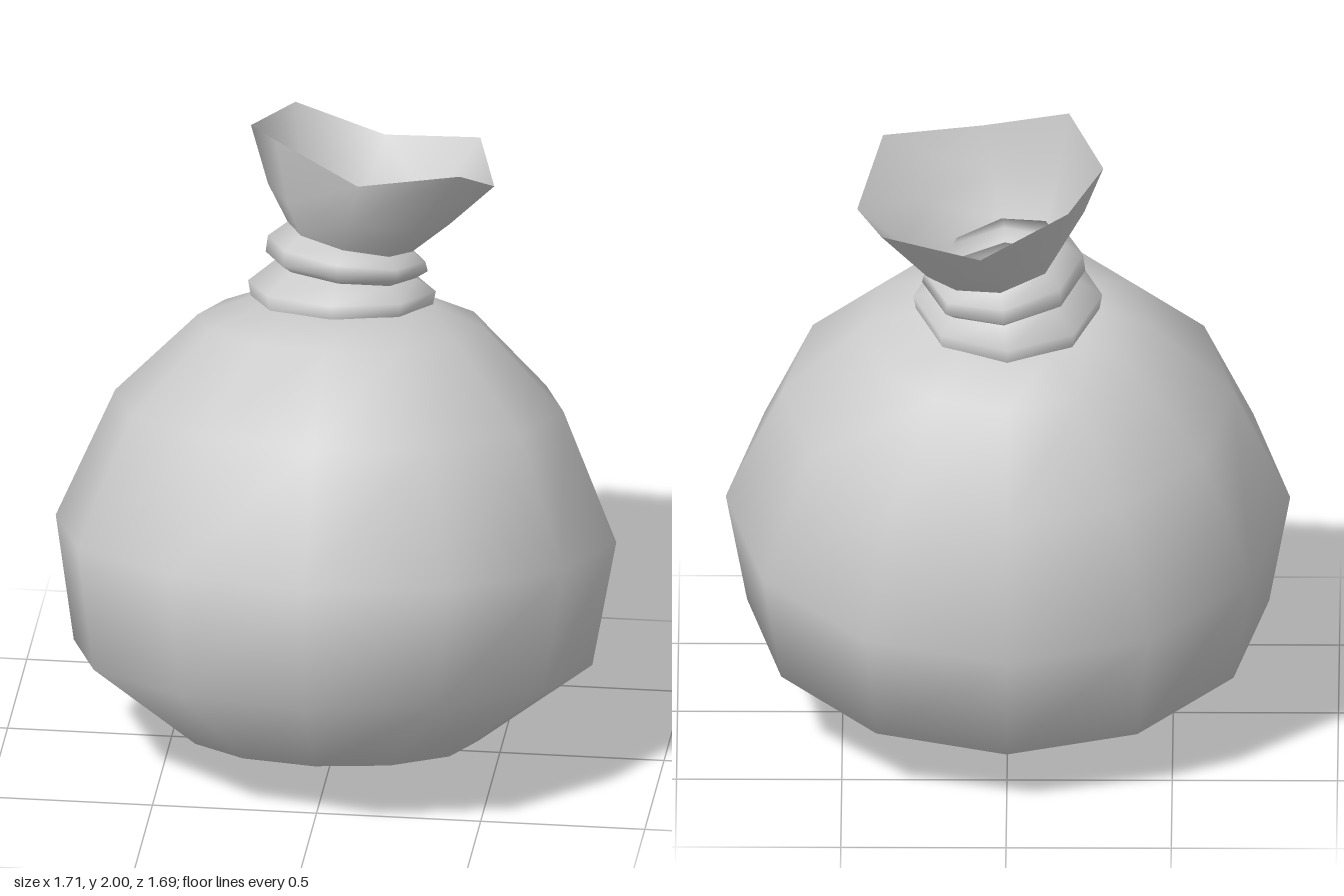
import * as THREE from 'three';
import { mergeVertices } from 'three/addons/utils/BufferGeometryUtils.js';

// Points of one tilted ring, starting at the front and turning towards +x.
// y, z: centre height and depth, r: radius, x: sideways shift,
// slopeX, slopeZ: rise of the ring's plane per unit of x and z.
function ring(sides, { y, z, r, x = 0, slopeX = 0, slopeZ = 0.213 }) {
  return Array.from({ length: sides }, (_, i) => {
    const a = (i / sides) * Math.PI * 2;
    const dx = Math.sin(a) * r;
    const dz = Math.cos(a) * r * 0.98;
    return [x + dx, y + dx * slopeX + dz * slopeZ, z + dz];
  });
}

// Smooth skin stretched over rings listed from bottom to top
function skin(rings) {
  const n = rings[0].length;
  const index = [];
  for (let j = 0; j < rings.length - 1; j++) {
    for (let i = 0; i < n; i++) {
      const a = j * n + i;
      const b = j * n + ((i + 1) % n);
      index.push(a, b, b + n, a, b + n, a + n);
    }
  }
  const geometry = new THREE.BufferGeometry();
  geometry.setAttribute('position', new THREE.Float32BufferAttribute(rings.flat(2), 3));
  geometry.setIndex(index);
  const merged = mergeVertices(geometry, 1e-4);
  merged.computeVertexNormals();
  return merged;
}

export function createModel() {
  const group = new THREE.Group();
  const cloth = new THREE.MeshStandardMaterial({ color: 0xcccccc, side: THREE.DoubleSide });
  cloth.name = 'grey cloth';

  const add = (name, rings) => {
    const mesh = new THREE.Mesh(skin(rings), cloth);
    mesh.name = name;
    group.add(mesh);
  };

  // Round sack body, leaning backwards
  add('sackBody', [
    { y: 0.015, z: 0.14, r: 0 },
    { y: 0.098, z: 0.128, r: 0.447 },
    { y: 0.345, z: 0.072, r: 0.79 },
    { y: 0.722, z: -0.005, r: 0.854 },
    { y: 1.108, z: -0.092, r: 0.683 },
    { y: 1.35, z: -0.142, r: 0.437 },
    { y: 1.415, z: -0.158, r: 0.27 },
    { y: 1.425, z: -0.16, r: 0 },
  ].map((p) => ring(12, p)));

  // Two rolled folds where the sack is tied
  add('lowerTie', [
    { y: 1.415, z: -0.157, r: 0.278 },
    { y: 1.46, z: -0.16, r: 0.286, slopeX: -0.01 },
    { y: 1.508, z: -0.183, r: 0.212, x: 0.01, slopeX: -0.1 },
  ].map((p) => ring(8, p)));

  add('upperTie', [
    { y: 1.508, z: -0.183, r: 0.212, x: 0.01, slopeX: -0.1 },
    { y: 1.533, z: -0.18, r: 0.247, x: 0.012, slopeX: -0.08 },
    { y: 1.575, z: -0.181, r: 0.24, x: 0.012, slopeX: -0.13 },
    { y: 1.608, z: -0.197, r: 0.19, x: 0.02, slopeX: -0.21 },
  ].map((p) => ring(8, p)));

  // Flared open mouth with an uneven rim
  const rim = [
    [0.077, 1.91, 0.092], [0.378, 1.918, 0.002], [0.455, 1.78, -0.238], [0.38, 1.812, -0.515],
    [0.08, 1.77, -0.592], [-0.185, 1.895, -0.527], [-0.29, 1.93, -0.268], [-0.185, 2, -0.018],
  ];
  add('sackMouth', [
    ring(8, { y: 1.608, z: -0.197, r: 0.19, x: 0.02, slopeX: -0.21 }),
    ring(8, { y: 1.71, z: -0.216, r: 0.277, x: 0.045, slopeX: -0.19 }),
    rim,
  ]);

  return group;
}
